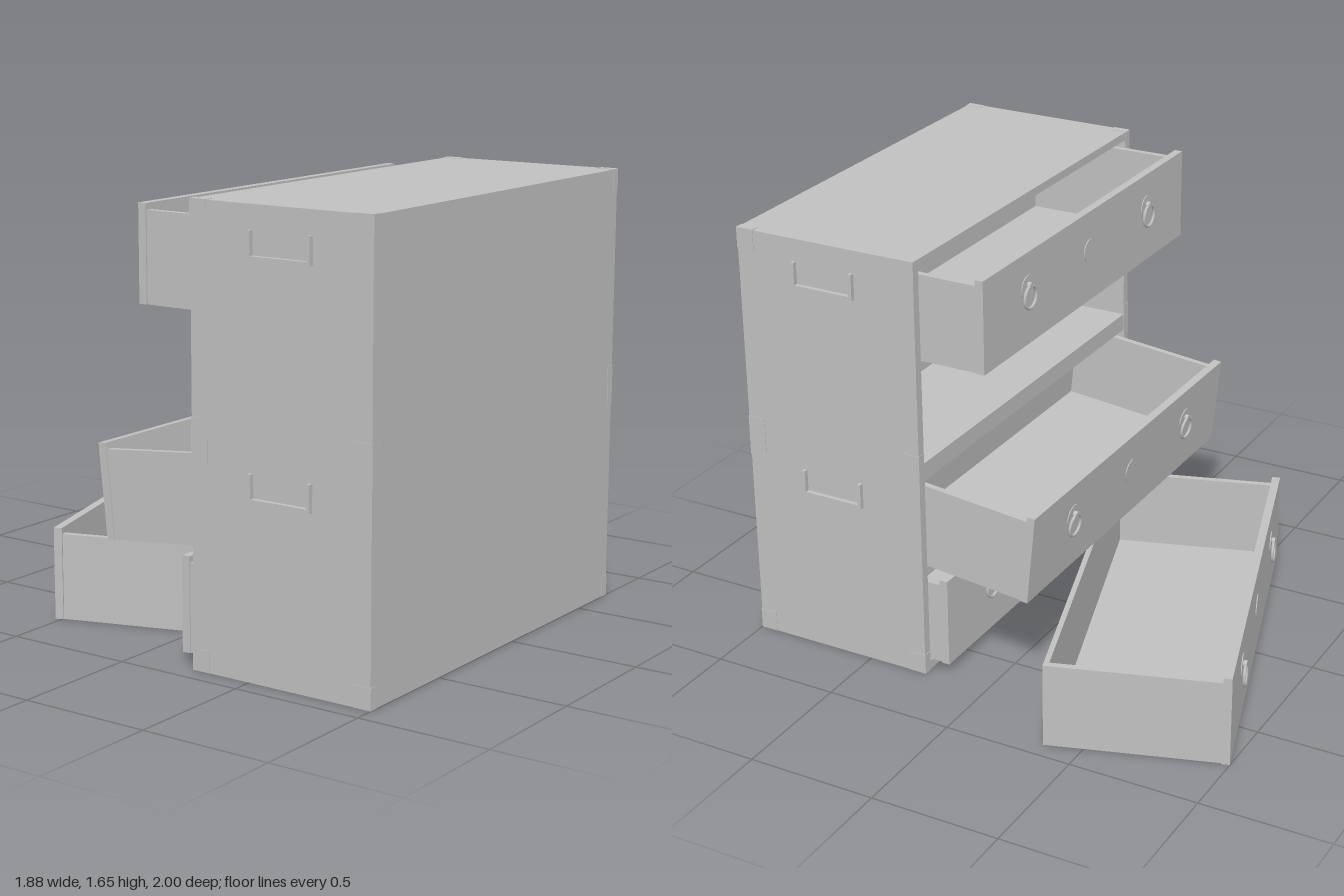
import * as THREE from 'three';

const grey = new THREE.MeshStandardMaterial({ color: 0xc0c0c0 });
grey.name = 'plain grey';

function add(parent, name, geometry, x, y, z) {
  const mesh = new THREE.Mesh(geometry, grey);
  mesh.name = name;
  mesh.position.set(x, y, z);
  parent.add(mesh);
  return mesh;
}

// box given by its lower and upper corners
function block(parent, name, x0, x1, y0, y1, z0, z1) {
  return add(parent, name, new THREE.BoxGeometry(x1 - x0, y1 - y0, z1 - z0),
    (x0 + x1) / 2, (y0 + y1) / 2, (z0 + z1) / 2);
}

function disc(parent, name, radius, depth, x, y, z) {
  const geometry = new THREE.CylinderGeometry(radius, radius, depth, 24).rotateX(Math.PI / 2);
  return add(parent, name, geometry, x, y, z);
}

// ring pull hanging from a round plate
function ringPull(parent, x) {
  const pull = new THREE.Group();
  pull.name = 'ringPull';
  pull.position.set(x, 0.185, 0);
  parent.add(pull);
  disc(pull, 'pullPlate', 0.046, 0.005, 0, 0.035, -0.001);
  disc(pull, 'pullPost', 0.012, 0.02, 0, 0.045, -0.008);
  add(pull, 'pullRing', new THREE.TorusGeometry(0.042, 0.006, 8, 28), 0, 0, -0.012);
}

// open drawer; its face looks toward -z and its origin is the lower face edge
function drawer(name) {
  const group = new THREE.Group();
  group.name = name;
  const half = 0.782, body = 0.776, wall = 0.025, depth = 0.67, high = 0.328;
  block(group, 'drawerFace', -half, half, 0, 0.352, 0, 0.032);
  block(group, 'drawerFloor', -body + wall, body - wall, 0, 0.02, 0.032, depth - 0.02);
  block(group, 'drawerBack', -body + wall, body - wall, 0, high, depth - 0.02, depth);
  for (const s of [-1, 1]) {
    add(group, 'drawerSide', new THREE.BoxGeometry(wall, high, depth - 0.032),
      s * (body - wall / 2), high / 2, (depth + 0.032) / 2);
    ringPull(group, s * 0.47);
  }
  disc(group, 'keyPlate', 0.045, 0.005, 0, 0.2, -0.001);
  return group;
}

// one of two stacked carcasses, with a shelf between two drawer bays
function carcass(name) {
  const group = new THREE.Group();
  group.name = name;
  const w = 0.822, t = 0.035, h = 0.825, z0 = 0.26, z1 = 0.998;
  block(group, 'backPanel', -w + t, w - t, 0, h, z1 - 0.03, z1);
  block(group, 'bottomBoard', -w + t, w - t, 0, 0.038, z0, z1 - 0.03);
  block(group, 'shelf', -w + t, w - t, 0.402, 0.438, z0, z1 - 0.03);
  block(group, 'topBoard', -w + t, w - t, h - 0.032, h, z0, z1 - 0.03);
  for (const s of [-1, 1]) {
    add(group, 'sidePanel', new THREE.BoxGeometry(t, h, z1 - z0),
      s * (w - t / 2), h / 2, (z0 + z1) / 2);

    // corner mounts wrapping each end of the side panel
    for (const z of [z0 + 0.033, z1 - 0.033]) {
      for (const y of [0.04, h - 0.038]) {
        add(group, 'cornerMount', new THREE.BoxGeometry(t, 0.08, 0.07),
          s * (w + 0.002 - t / 2), y, z);
      }
    }

    // U-shaped carrying handle
    const handle = new THREE.Group();
    handle.name = 'carryHandle';
    handle.position.set(s * (w + 0.009), 0.64, 0.634);
    group.add(handle);
    add(handle, 'handleBar', new THREE.BoxGeometry(0.018, 0.014, 0.255), 0, 0.007, 0);
    for (const e of [-1, 1]) {
      add(handle, 'handleArm', new THREE.BoxGeometry(0.018, 0.085, 0.013), 0, 0.0565, e * 0.121);
    }
  }
  return group;
}

export function createModel() {
  const model = new THREE.Group();
  model.name = 'chestOfDrawers';
  const centre = -0.1;

  const lower = carcass('lowerCarcass');
  lower.position.set(centre, 0, 0);
  const upper = carcass('upperCarcass');
  upper.position.set(centre, 0.825, 0);

  const top = drawer('topDrawer');
  top.position.set(centre, 1.262, 0.004);
  const tilted = drawer('tiltedDrawer');
  tilted.position.set(centre, 0.394, -0.157);
  tilted.rotation.x = -0.099;
  const bottom = drawer('bottomDrawer');
  bottom.position.set(centre, 0.04, 0.18);

  // drawer pulled out and left on the ground
  const loose = drawer('looseDrawer');
  loose.position.set(-0.007, 0, -0.763);
  loose.rotation.y = 0.308;

  model.add(lower, upper, top, tilted, bottom, loose);
  return model;
}
